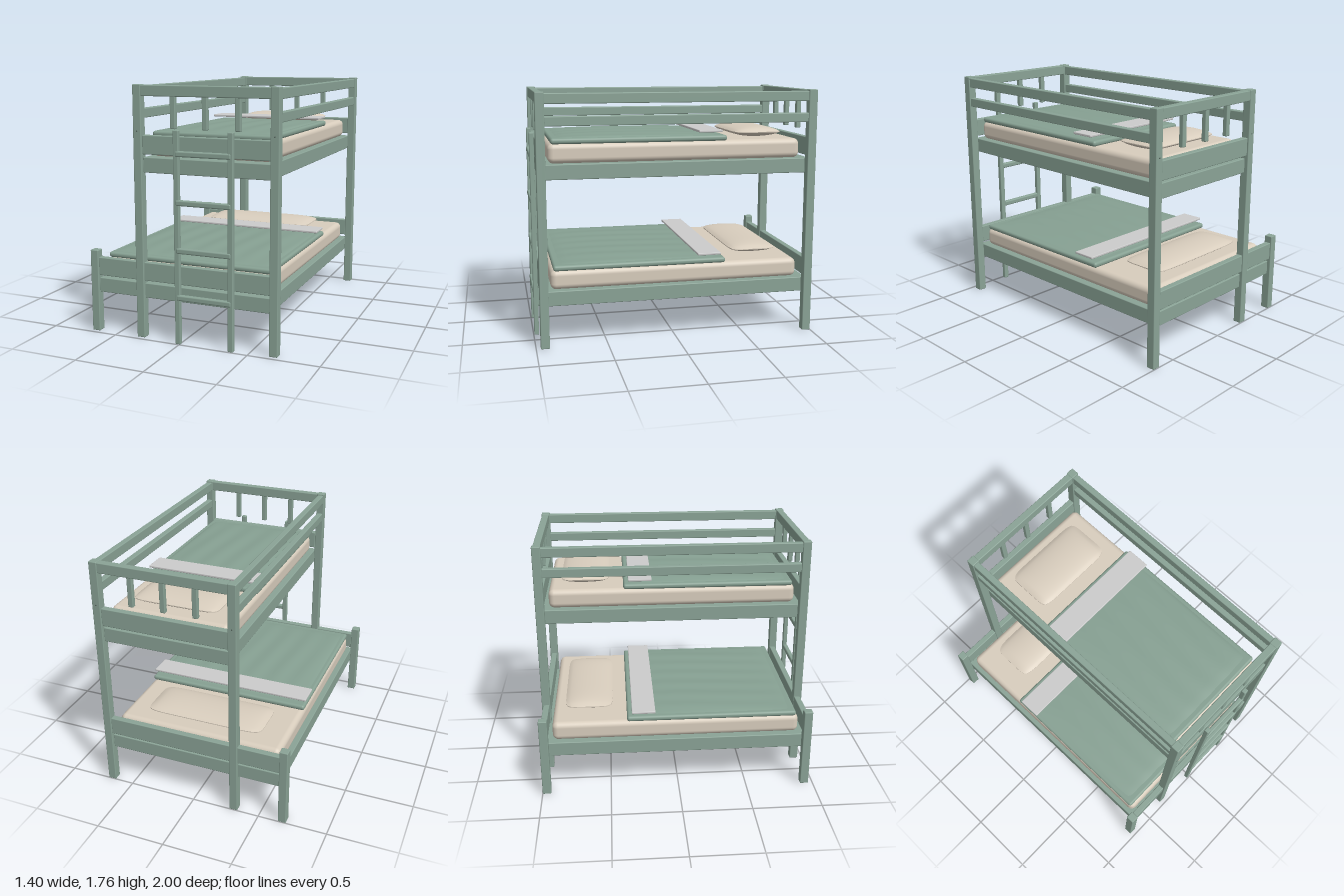
import * as THREE from 'three';
import { RoundedBoxGeometry } from 'three/addons/geometries/RoundedBoxGeometry.js';

const mat = (color, extra = {}) => new THREE.MeshStandardMaterial({ color, ...extra });
const wood = mat(0x8aa396);
const linen = mat(0xd8cdbd);
const quilt = mat(0x86a092, { side: THREE.DoubleSide });
const sheet = mat(0xd9d9d9);
const metal = mat(0x5a6a62);

// Rounded box given by its limits on each axis
function block(parent, name, [x0, x1], [y0, y1], [z0, z1], material = wood, radius = 0.006, segments = 2) {
  const geo = new RoundedBoxGeometry(x1 - x0, y1 - y0, z1 - z0, segments, radius);
  const mesh = new THREE.Mesh(geo, material);
  mesh.position.set((x0 + x1) / 2, (y0 + y1) / 2, (z0 + z1) / 2);
  mesh.name = name;
  parent.add(mesh);
  return mesh;
}

// Lens-shaped cushion, thick in the middle and thin at the seam
function pillow(width, height, depth) {
  const geo = new THREE.BoxGeometry(2, 2, 2, 28, 1, 20);
  const p = geo.attributes.position;
  for (let i = 0; i < p.count; i++) {
    const u = p.getX(i), v = p.getZ(i);
    const fill = Math.pow((1 - u ** 6) * (1 - v * v), 0.65);
    // Round the corners in plan
    const x = u * (1 - 0.06 * v ** 8), z = v * (1 - 0.09 * u ** 10);
    p.setXYZ(i, x * width / 2, Math.sign(p.getY(i)) * (0.003 + fill * (height / 2 - 0.003)), z * depth / 2);
  }
  geo.computeVertexNormals();
  return geo;
}

// Softly crowned cover with lengthwise ripples
function crownedCover(width, depth, rise) {
  const geo = new THREE.PlaneGeometry(width, depth, 60, 30).rotateX(-Math.PI / 2);
  const p = geo.attributes.position;
  for (let i = 0; i < p.count; i++) {
    const u = p.getX(i) / (width / 2), v = p.getZ(i) / (depth / 2);
    const crown = Math.sqrt(Math.max(0, (1 - u ** 4) * (1 - v * v)));
    const ripple = 0.003 * Math.sin(p.getX(i) * 34 + Math.sin(v * 2)) * crown;
    p.setY(i, crown * rise + ripple);
  }
  geo.computeVertexNormals();
  return geo;
}

// One bed: base, end boards, mattress and bedding
function bed(name, left, right, y) {
  const g = new THREE.Group();
  g.name = name;
  const mid = (left + right) / 2;
  const inner = [left + 0.03, right - 0.027];
  block(g, 'bedBase', [left, right], [y, y + 0.105], [-0.975, 0.945]);
  block(g, 'headBoard', [left, right], [y + 0.125, y + 0.255], [-0.99, -0.945]);
  block(g, 'footBoard', [left, right], [y + 0.125, y + 0.255], [0.91, 0.955]);
  block(g, 'mattress', inner, [y + 0.105, y + 0.242], [-0.91, 0.885], linen, 0.04, 5);
  block(g, 'duvet', inner, [y + 0.237, y + 0.277], [-0.37, 0.865], quilt, 0.018, 4);

  const cover = new THREE.Mesh(crownedCover(inner[1] - inner[0] - 0.06, 1.16, 0.02), quilt);
  cover.name = 'duvetCover';
  cover.position.set(mid, y + 0.275, 0.25);
  g.add(cover);

  block(g, 'foldedSheet', inner, [y + 0.298, y + 0.315], [-0.335, -0.165], sheet, 0.005);

  const cushion = new THREE.Mesh(pillow((right - left) * 0.68, 0.076, 0.35), linen);
  cushion.name = 'pillow';
  cushion.position.set(mid, y + 0.28, -0.645);
  g.add(cushion);
  return g;
}

export function createModel() {
  const model = new THREE.Group();
  model.name = 'bunkBed';
  const ends = [
    { label: 'back', z: [-1, -0.938], out: -1 },
    { label: 'front', z: [0.906, 0.968], out: 1 },
  ];

  // Posts, end rails and hanging spindles
  const frame = new THREE.Group();
  frame.name = 'frame';
  model.add(frame);
  for (const { label, z, out } of ends) {
    block(frame, label + 'LowPost', [-0.705, -0.645], [0, 0.592], z);
    for (const x of [-0.34, 0.64]) {
      block(frame, label + 'TallPost', [x, x + 0.06], [0, 1.757], z);
      // Bolt cap on the outer face
      const bolt = new THREE.Mesh(new THREE.CylinderGeometry(0.005, 0.005, 0.004, 12), metal);
      bolt.name = 'boltCap';
      bolt.rotation.x = Math.PI / 2;
      bolt.position.set(x + 0.03, 1.445, out > 0 ? z[1] : z[0]);
      frame.add(bolt);
    }
    block(frame, label + 'TopRail', [-0.285, 0.645], [1.68, 1.753], [z[0] + 0.005, z[1] - 0.005]);
    const middle = (z[0] + z[1]) / 2;
    for (const x of [-0.05, 0.181, 0.413]) {
      block(frame, label + 'Spindle', [x - 0.019, x + 0.019], [1.467, 1.685], [middle - 0.017, middle + 0.017]);
    }
  }

  // Guard rails along both sides of the upper bunk
  for (const x of [-0.333, 0.648]) {
    for (const y of [[1.53, 1.595], [1.677, 1.747]]) {
      block(frame, 'guardRail', [x, x + 0.045], y, [-0.942, 0.91]);
    }
  }

  model.add(bed('lowerBed', -0.648, 0.643, 0.285));
  model.add(bed('upperBed', -0.28, 0.643, 1.165));

  // Ladder on the front
  const ladder = new THREE.Group();
  ladder.name = 'ladder';
  model.add(ladder);
  for (const x of [-0.03, 0.358]) {
    block(ladder, 'ladderStile', [x, x + 0.038], [0, 1.465], [0.962, 0.995]);
  }
  for (let i = 0; i < 4; i++) {
    const y = 0.311 + i * 0.3265;
    block(ladder, 'ladderRung', [-0.015, 0.382], [y, y + 0.038], [0.965, 1], wood, 0.01, 3);
  }
  return model;
}
